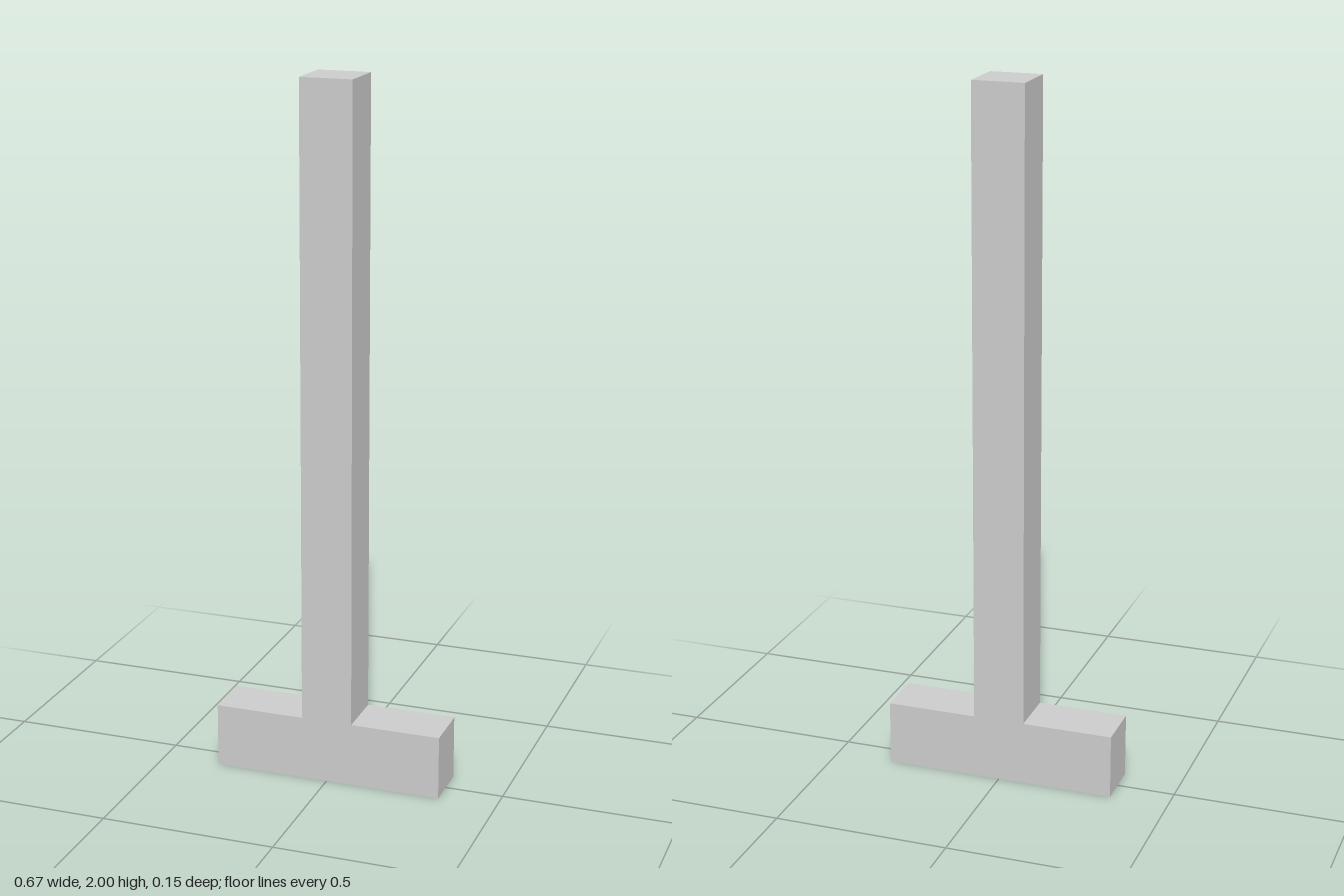
import * as THREE from 'three';

const HEIGHT = 2;
const BASE_HEIGHT = 0.185;
const BASE_HALF = 0.333;
const POST_HALF = 0.074;
const DEPTH = 0.148;

export function createModel() {
  const group = new THREE.Group();
  group.name = 'postOnFoot';

  // One solid: square post rising flush from a wide foot
  const profile = new THREE.Shape([
    [-BASE_HALF, 0], [BASE_HALF, 0], [BASE_HALF, BASE_HEIGHT], [POST_HALF, BASE_HEIGHT],
    [POST_HALF, HEIGHT], [-POST_HALF, HEIGHT], [-POST_HALF, BASE_HEIGHT], [-BASE_HALF, BASE_HEIGHT],
  ].map(([x, y]) => new THREE.Vector2(x, y)));

  const geometry = new THREE.ExtrudeGeometry(profile, { depth: DEPTH, bevelEnabled: false });
  geometry.translate(0, 0, -DEPTH / 2);

  const post = new THREE.Mesh(
    geometry,
    new THREE.MeshStandardMaterial({ color: 0xcccccc, flatShading: true }),
  );
  post.name = 'postAndFoot';
  group.add(post);
  return group;
}
